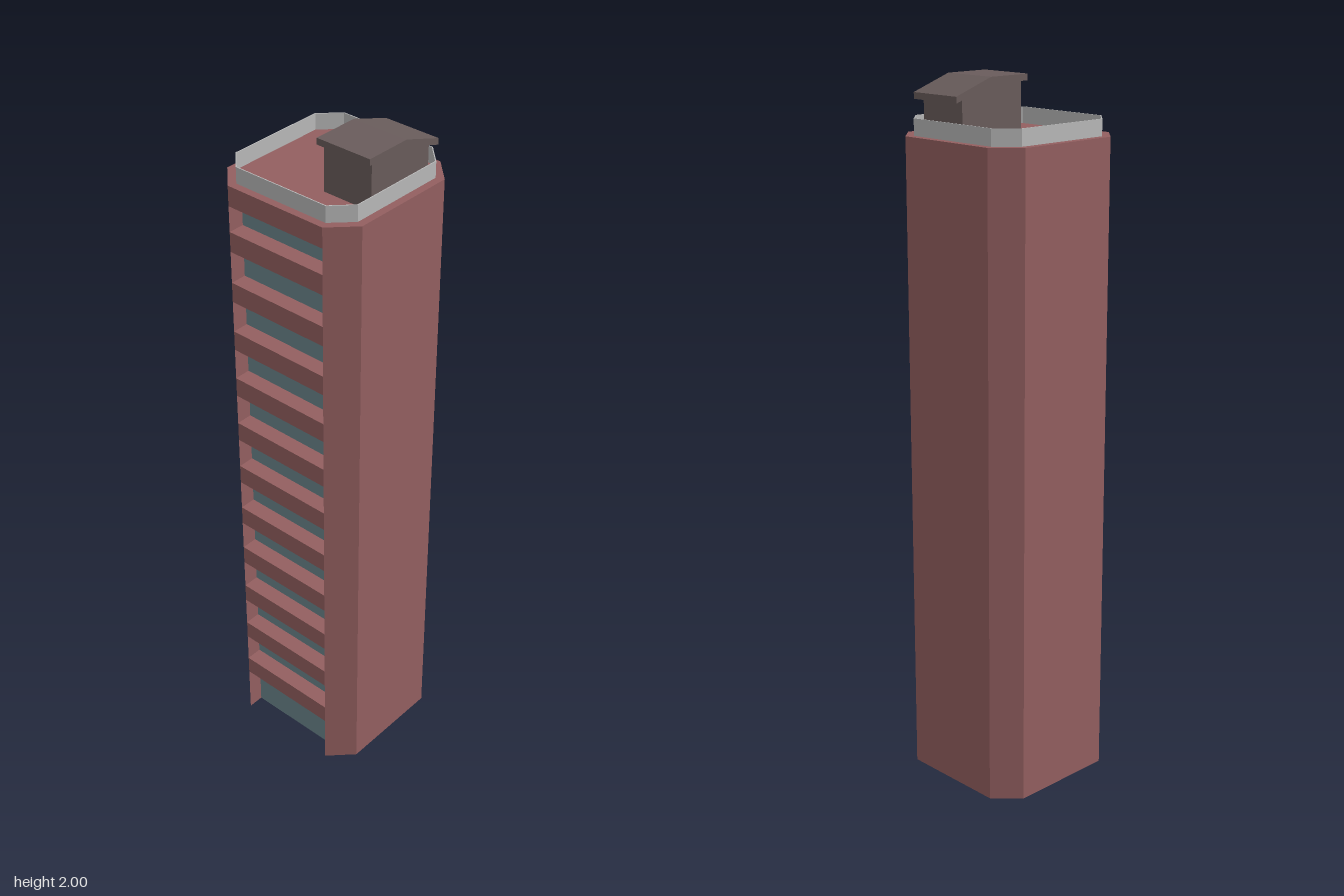
import * as THREE from 'three';

const brick = new THREE.MeshStandardMaterial({ color: 0x935f60 });
brick.name = 'brick';
const glass = new THREE.MeshStandardMaterial({ color: 0x6b858b });
glass.name = 'glass';
const concrete = new THREE.MeshStandardMaterial({ color: 0xb8b8b8 });
concrete.name = 'concrete';
const slate = new THREE.MeshStandardMaterial({ color: 0x695c5b });
slate.name = 'slate';

const HALF = 0.226, CORNER = 0.158, HEIGHT = 1.85, RECESS_Z = 0.176;

const toShape = pts => new THREE.Shape(pts.map(([x, y]) => new THREE.Vector2(x, y)));

// Square plan with cut corners, counter-clockwise; shape y is -z
const octagon = (h, c) => [
  [c, -h], [h, -c], [h, c], [c, h], [-c, h], [-h, c], [-h, -c], [-c, -h],
];

// Raise a plan upward from y = 0
function raise(shape, height) {
  return new THREE.ExtrudeGeometry(shape, { depth: height, bevelEnabled: false }).rotateX(-Math.PI / 2);
}

// Sweep a side profile (z, y) along x, centred on x = 0
function sweepSide(pts, width) {
  return new THREE.ExtrudeGeometry(toShape(pts), { depth: width, bevelEnabled: false })
    .translate(0, 0, -width / 2).rotateY(-Math.PI / 2);
}

export function createModel() {
  const model = new THREE.Group();
  model.name = 'towerBlock';

  const add = (name, geometry, material, x = 0, y = 0, z = 0) => {
    const mesh = new THREE.Mesh(geometry, material);
    mesh.name = name;
    mesh.position.set(x, y, z);
    model.add(mesh);
    return mesh;
  };

  // Tower with the whole front face set back between the corner piers
  const plan = [...octagon(HALF, CORNER), [-CORNER, -RECESS_Z], [CORNER, -RECESS_Z]];
  add('tower', raise(toShape(plan), HEIGHT), brick);

  // Glazing on the recessed wall
  add('glazing', new THREE.PlaneGeometry(2 * CORNER, HEIGHT - 0.03), glass,
    0, (HEIGHT - 0.03) / 2, RECESS_Z + 0.002);

  // Floor bands across the recess, flush with the front
  const bandHeight = 0.058, floors = 12, step = 0.1506;
  const bandDepth = HALF - RECESS_Z;
  const bandGeometry = new THREE.BoxGeometry(2 * CORNER, bandHeight, bandDepth);
  for (let i = 0; i < floors; i++) {
    const top = i === floors - 1 ? HEIGHT : 0.212 + i * step;
    add('floorBand' + (i + 1), bandGeometry, brick, 0, top - bandHeight / 2, RECESS_Z + bandDepth / 2);
  }

  // Thin parapet around the roof
  const ring = toShape(octagon(0.204, 0.149));
  ring.holes.push(toShape(octagon(0.201, 0.148)));
  add('parapet', raise(ring, 0.046), concrete, 0, HEIGHT, 0);

  // Rooftop hut with a sloping back
  const hutX = 0.119;
  add('hutWalls', sweepSide([
    [0.09, HEIGHT], [0.09, 1.985], [-0.028, 1.985], [-0.127, 1.953], [-0.127, HEIGHT],
  ], 0.153), slate, hutX);
  add('hutRoof', sweepSide([
    [0.107, 1.982], [0.107, 2.0], [-0.03, 2.0], [-0.155, 1.957], [-0.155, 1.939], [-0.03, 1.982],
  ], 0.169), slate, hutX);

  return model;
}
